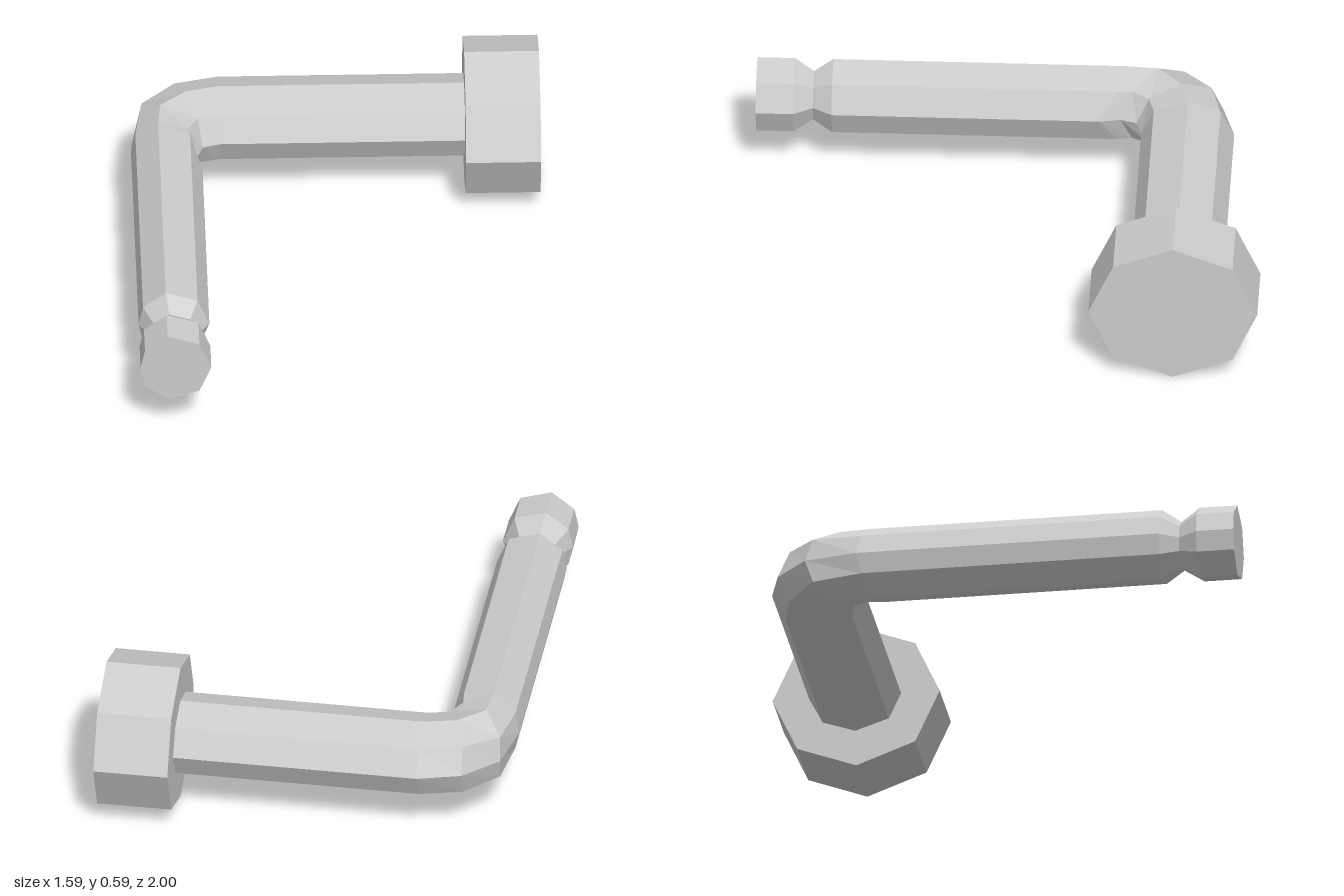
import * as THREE from 'three';

const MID_Y = 0.296;
const material = new THREE.MeshStandardMaterial({ color: 0xcccccc, flatShading: true });

// Half heights of the five profile points: outer, outer diagonal, top, inner diagonal, inner
const ARM_Y = [0, 0.104, 0.148, 0.104, 0];
const LEG_Y = [0, 0.08, 0.148, 0.11, 0];
const ARM_Z = [-0.857, -0.804, -0.677, -0.545, -0.497];
const LEG_X = [-0.795, -0.778, -0.69, -0.567, -0.521];

// Eight-sided ring: five points mirrored below the middle plane
function ring(xs, zs, ys) {
  const upper = xs.map((x, i) => [x, MID_Y + ys[i], zs[i]]);
  const lower = [3, 2, 1].map((i) => [xs[i], MID_Y - ys[i], zs[i]]);
  return [...upper, ...lower];
}
const armRing = (x) => ring(ARM_Z.map(() => x), ARM_Z, ARM_Y);
const legRing = (z, s = 1) =>
  ring(LEG_X.map((x) => -0.656 + (x + 0.656) * s), LEG_X.map(() => z), LEG_Y.map((y) => y * s));

// Skin consecutive rings and close the last one
function loft(rings) {
  const n = rings[0].length;
  const index = [];
  for (let i = 0; i < rings.length - 1; i++) {
    for (let j = 0; j < n; j++) {
      const a = i * n + j, b = i * n + (j + 1) % n;
      index.push(a, a + n, b, b, a + n, b + n);
    }
  }
  const last = (rings.length - 1) * n;
  for (let j = 1; j < n - 1; j++) index.push(last, last + j + 1, last + j);
  const geometry = new THREE.BufferGeometry();
  geometry.setAttribute('position', new THREE.Float32BufferAttribute(rings.flat(2), 3));
  geometry.setIndex(index);
  const flat = geometry.toNonIndexed();
  flat.computeVertexNormals();
  return flat;
}

export function createModel() {
  const group = new THREE.Group();
  group.name = 'bentHandle';

  // Arm, bend, leg and grooved tip in one skin
  const shaft = new THREE.Mesh(loft([
    armRing(0.51),
    armRing(-0.453),
    ring([-0.62, -0.62, -0.58, -0.535, -0.516], [-0.81, -0.762, -0.645, -0.523, -0.476], ARM_Y),
    ring([-0.754, -0.749, -0.68, -0.574, -0.537], [-0.683, -0.652, -0.556, -0.455, -0.413], [0, 0.09, 0.148, 0.107, 0]),
    ring(LEG_X, [-0.476, -0.46, -0.434, -0.4, -0.328], LEG_Y),
    legRing(0.706),
    legRing(0.78, 0.66),
    legRing(0.854),
    legRing(1),
  ]), material);
  shaft.name = 'shaft';
  group.add(shaft);

  // Octagonal head on the end of the arm
  const headGeometry = new THREE.CylinderGeometry(1, 1, 0.29, 8);
  headGeometry.rotateZ(Math.PI / 2);
  headGeometry.scale(1, 0.296, 0.327);
  const head = new THREE.Mesh(headGeometry, material);
  head.name = 'head';
  head.position.set(0.645, MID_Y, -0.673);
  group.add(head);

  return group;
}
